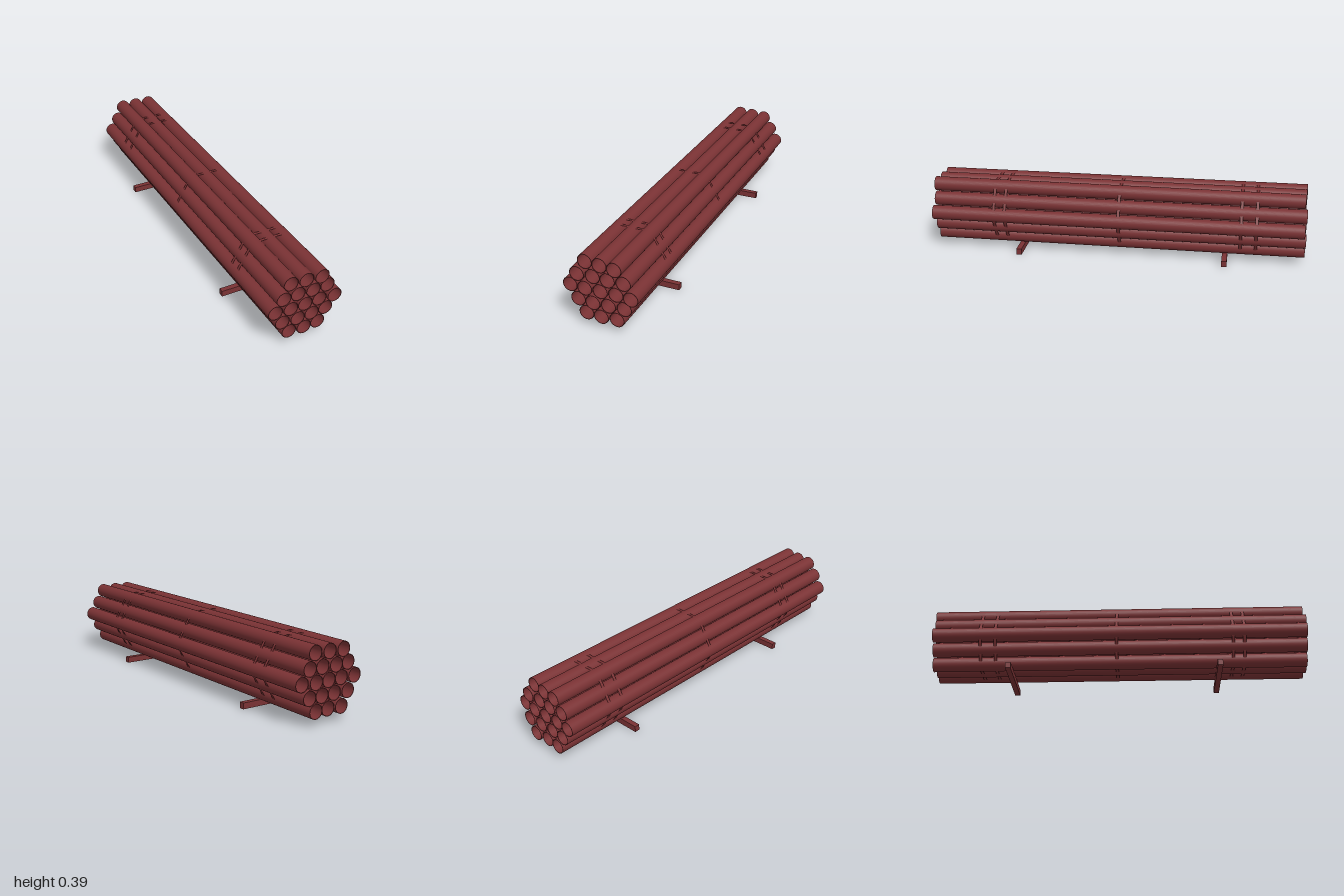
import * as THREE from 'three';
import { mergeGeometries } from 'three/addons/utils/BufferGeometryUtils.js';

const RADIUS = 0.038, WALL = 0.0025, LENGTH = 1.985;
const PITCH = 0.0795, ROW = PITCH * Math.sqrt(3) / 2, CENTRE_Y = 0.21;

// Hollow pipe along z: outer skin, inner skin and two end rings
function pipeGeometry() {
  const skin = r => new THREE.CylinderGeometry(r, r, LENGTH, 32, 1, true).rotateX(Math.PI / 2);
  const ring = () => new THREE.RingGeometry(RADIUS - WALL, RADIUS, 32);
  return mergeGeometries([
    skin(RADIUS),
    skin(RADIUS - WALL),
    ring().translate(0, 0, LENGTH / 2),
    ring().rotateY(Math.PI).translate(0, 0, -LENGTH / 2),
  ]);
}

// Thin six-sided band pulled tight around the bundle
function strapGeometry() {
  const r = 2 * PITCH + 0.0325 / Math.cos(Math.PI / 6);
  const g = new THREE.CylinderGeometry(r, r, 0.016, 6, 1, true, Math.PI / 2).toNonIndexed();
  g.computeVertexNormals();
  return g.rotateX(Math.PI / 2);
}

export function createModel() {
  const model = new THREE.Group();
  model.name = 'pipeBundle';
  const paint = new THREE.MeshStandardMaterial({ color: 0x7a3234, side: THREE.DoubleSide });
  paint.name = 'rust red';

  const add = (name, geometry, x, y, z) => {
    const mesh = new THREE.Mesh(geometry, paint);
    mesh.name = name;
    mesh.position.set(x, y, z);
    model.add(mesh);
  };

  // Nineteen pipes stacked as a hexagon, each slid slightly lengthwise
  const pipe = pipeGeometry();
  const slides = [-0.004, 0.001, -0.005, -0.002, 0.004, 0, -0.005, -0.002, 0.003, 0,
    -0.003, 0.005, 0.002, -0.004, 0.001, -0.003, -0.0075, -0.001, 0.0075];
  let n = 0;
  [3, 4, 5, 4, 3].forEach((count, row) => {
    for (let i = 0; i < count; i++) {
      add('pipe', pipe, (i - (count - 1) / 2) * PITCH, CENTRE_Y + (row - 2) * ROW, slides[n++]);
    }
  });

  // Straps: a pair near each end and one in the middle
  const strap = strapGeometry();
  for (const z of [0.66, 0.6, -0.015, -0.66, -0.74]) add('strap', strap, 0, CENTRE_Y, z);

  // Two bearers under the bundle
  const bearer = new THREE.BoxGeometry(0.386, 0.032, 0.028);
  for (const z of [0.525, -0.58]) add('bearer', bearer, -0.003, 0.016, z);

  return model;
}
